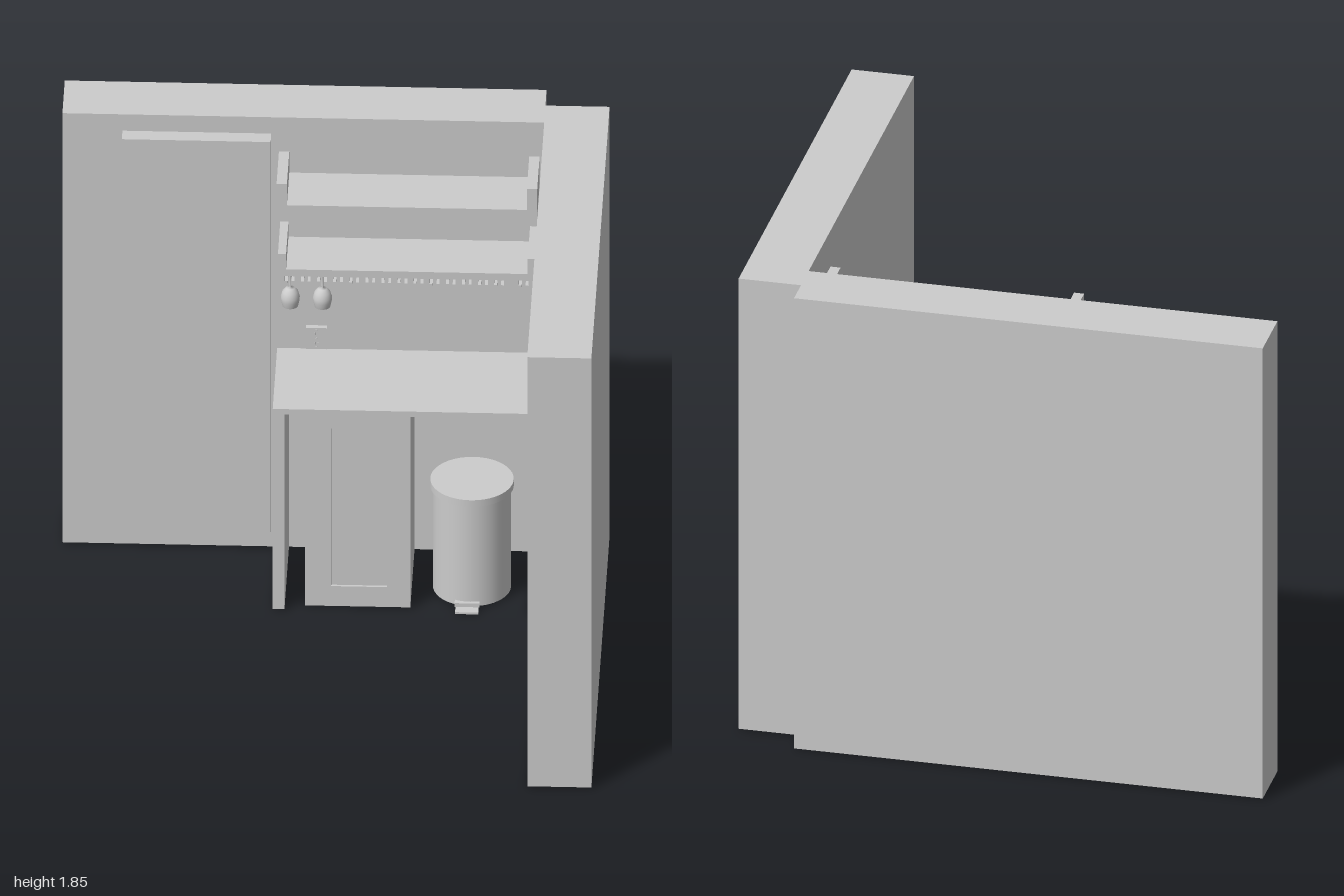
import * as THREE from 'three';

const mat = new THREE.MeshStandardMaterial({ color: 0xcccccc });
const thinMat = new THREE.MeshStandardMaterial({ color: 0xcccccc, side: THREE.DoubleSide });

// Box given by its lower and upper limits on each axis
function box(parent, name, [x0, x1], [y0, y1], [z0, z1]) {
  const m = new THREE.Mesh(new THREE.BoxGeometry(x1 - x0, y1 - y0, z1 - z0), mat);
  m.position.set((x0 + x1) / 2, (y0 + y1) / 2, (z0 + z1) / 2);
  m.name = name;
  parent.add(m);
  return m;
}

// Front-facing outline pushed through from z0 to z1
function slab(parent, name, shape, z0, z1) {
  const m = new THREE.Mesh(
    new THREE.ExtrudeGeometry(shape, { depth: z1 - z0, bevelEnabled: false }), mat);
  m.position.z = z0;
  m.name = name;
  parent.add(m);
  return m;
}

function cylinder(parent, name, r, y0, y1, x, z, sides = 40) {
  const m = new THREE.Mesh(new THREE.CylinderGeometry(r, r, y1 - y0, sides), mat);
  m.position.set(x, (y0 + y1) / 2, z);
  m.name = name;
  parent.add(m);
  return m;
}

const polygon = pts => new THREE.Shape(pts.map(([x, y]) => new THREE.Vector2(x, y)));

// Shelf with raised ends; optional T-shaped slots cut up from its underside
function shelfOutline(x0, x1, bottom, top, endTop, end, slots = []) {
  const pts = [[x0, bottom]];
  for (const s of slots) {
    const neck = 0.007, half = 0.018, lip = bottom + 0.01, roof = bottom + 0.031;
    pts.push([s - neck, bottom], [s - neck, lip], [s - half, lip], [s - half, roof],
      [s + half, roof], [s + half, lip], [s + neck, lip], [s + neck, bottom]);
  }
  pts.push([x1, bottom], [x1, endTop], [x1 - end, endTop], [x1 - end, top],
    [x0 + end, top], [x0 + end, endTop], [x0, endTop]);
  return polygon(pts);
}

// Stemmed glass hanging upside down by its foot
function hangingGlass(x, z) {
  const profile = [[0, 1.337], [0.016, 1.334], [0.016, 1.328], [0.004, 1.322], [0.003, 1.255],
    [0.016, 1.251], [0.029, 1.236], [0.035, 1.215], [0.034, 1.198], [0.029, 1.175],
    [0.027, 1.175], [0.032, 1.2], [0.031, 1.22], [0.02, 1.24], [0, 1.25]];
  const m = new THREE.Mesh(
    new THREE.LatheGeometry(profile.map(([r, y]) => new THREE.Vector2(r, y)), 24), thinMat);
  m.position.set(x, 0, z);
  m.name = 'hangingGlass';
  return m;
}

export function createModel() {
  const model = new THREE.Group();
  model.name = 'kitchenCorner';
  const group = name => {
    const g = new THREE.Group();
    g.name = name;
    model.add(g);
    return g;
  };

  // Walls
  box(model, 'backWall', [-1, 0.765], [0.005, 1.845], [-0.94, -0.71]);
  box(model, 'sideWall', [0.765, 1], [0.005, 1.845], [-0.83, 0.94]);

  // Flat panel on the back wall
  box(model, 'wallPanel', [-0.78, -0.235], [0.095, 1.775], [-0.715, -0.65]);

  // Counter: top and two legs as one arch
  slab(model, 'counter', polygon([[-0.213, 0.005], [-0.17, 0.005], [-0.17, 0.84], [0.72, 0.84],
    [0.72, 0.005], [0.76, 0.005], [0.76, 0.863], [-0.213, 0.863]]), -0.7, -0.27);

  // Undercounter cooler with a framed door
  const cooler = group('cooler');
  box(cooler, 'coolerBody', [-0.095, 0.29], [0.005, 0.83], [-0.712, -0.31]);
  const door = polygon([[-0.095, 0.005], [0.29, 0.005], [0.29, 0.83], [-0.095, 0.83]]);
  door.holes.push(polygon([[0, 0.09], [0, 0.765], [0.205, 0.765], [0.205, 0.09]]));
  slab(cooler, 'coolerDoorFrame', door, -0.31, -0.3);

  // Shelves
  slab(model, 'upperShelf', shelfOutline(-0.205, 0.75, 1.613, 1.64, 1.73, 0.038), -0.66, -0.43);
  const slots = Array.from({ length: 14 }, (_, i) => -0.157 + i * 0.059).concat(0.7);
  slab(model, 'glassRackShelf',
    shelfOutline(-0.2, 0.745, 1.305, 1.365, 1.43, 0.03, slots), -0.66, -0.43);

  // Glasses in the first and third slots
  const glasses = group('glasses');
  for (const i of [0, 2]) glasses.add(hangingGlass(slots[i], -0.49));

  // Wall outlet: plate, two sockets and screws
  const outlet = group('outlet');
  box(outlet, 'outletPlate', [-0.107, -0.03], [0.867, 0.957], [-0.712, -0.69]);
  for (const y of [0.892, 0.932]) {
    for (const dx of [-0.006, 0.006])
      box(outlet, 'socketPin', [-0.07 + dx, -0.067 + dx], [y - 0.005, y + 0.005], [-0.691, -0.688]);
  }
  for (const y of [0.877, 0.912, 0.947])
    cylinder(outlet, 'outletScrew', 0.004, y - 0.002, y + 0.002, -0.0685, -0.689, 12)
      .rotation.x = Math.PI / 2;

  // Pedal bin
  const bin = group('pedalBin');
  cylinder(bin, 'binBody', 0.143, 0.005, 0.44, 0.51, -0.46);
  cylinder(bin, 'binLid', 0.153, 0.437, 0.465, 0.51, -0.46);
  box(bin, 'binPedal', [0.455, 0.54], [0, 0.008], [-0.36, -0.268]);
  box(bin, 'binPedalHousing', [0.452, 0.543], [0.008, 0.024], [-0.36, -0.305]);

  return model;
}
